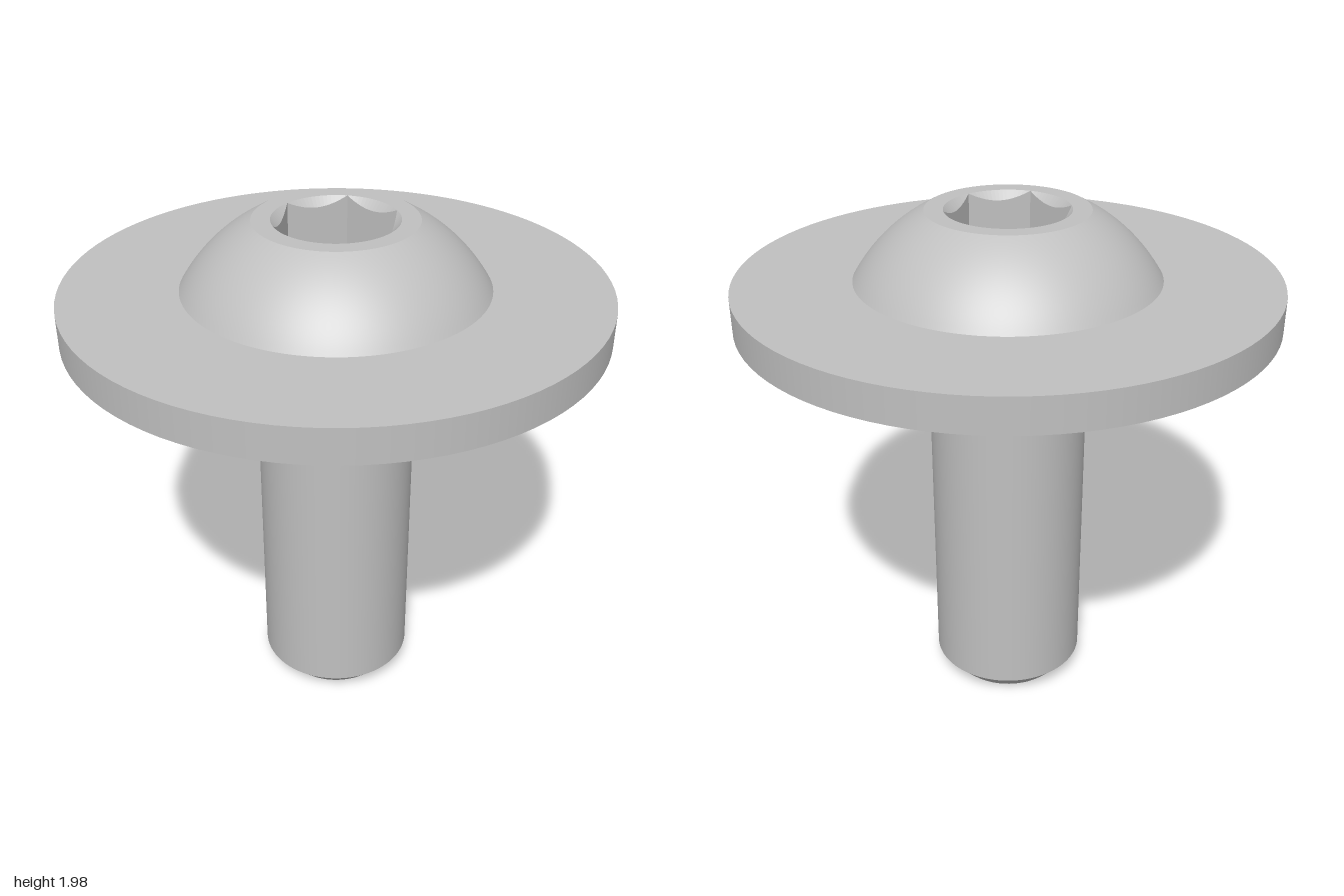
import * as THREE from 'three';

const SEG = 96;
const TOP = 1.98, FLANGE_TOP = 1.73, FLANGE_BOTTOM = 1.6;
const SHAFT_R = 0.3, APOTHEM = 0.2, RIM = APOTHEM / Math.cos(Math.PI / 6);
const SOCKET_FLOOR = TOP - 0.21;

export function createModel() {
  const model = new THREE.Group();
  const steel = new THREE.MeshStandardMaterial({ color: 0xc0c0c0 });
  steel.name = 'steel grey';

  const add = (group, name, geometry) => {
    const mesh = new THREE.Mesh(geometry, steel);
    mesh.name = name;
    group.add(mesh);
  };
  // One smooth band of revolution; separate bands keep the edges sharp
  const band = (group, name, ...points) =>
    add(group, name, new THREE.LatheGeometry(points.map(([r, y]) => new THREE.Vector2(r, y)), SEG));
  const part = (name) => {
    const group = new THREE.Group();
    group.name = name;
    model.add(group);
    return group;
  };

  // Shaft with chamfered tip
  const shaft = part('shaft');
  band(shaft, 'tipFace', [0, 0], [0.225, 0]);
  band(shaft, 'tipChamfer', [0.225, 0], [SHAFT_R, 0.08]);
  band(shaft, 'shank', [SHAFT_R, 0.08], [SHAFT_R, FLANGE_BOTTOM]);

  // Wide flat flange
  const flange = part('flange');
  band(flange, 'flangeUnderside', [SHAFT_R, FLANGE_BOTTOM], [1, FLANGE_BOTTOM]);
  band(flange, 'flangeEdge', [1, FLANGE_BOTTOM], [1, FLANGE_TOP]);
  band(flange, 'flangeTop', [1, FLANGE_TOP], [0.565, FLANGE_TOP]);

  // Button head: part of a sphere, cut flat at the top
  const head = part('head');
  const centreY = 1.397, radius = 0.656;
  const start = Math.atan2(FLANGE_TOP - centreY, 0.565);
  const end = Math.atan2(TOP - centreY, 0.3);
  const dome = [];
  for (let i = 0; i <= 16; i++) {
    const a = start + (end - start) * i / 16;
    dome.push([radius * Math.cos(a), centreY + radius * Math.sin(a)]);
  }
  band(head, 'dome', ...dome);
  band(head, 'headTop', [0.3, TOP], [RIM, TOP]);

  // Hex socket: conical lead-in, six flat walls and floor
  const socket = part('hexSocket');
  const hexRadius = (a) => {
    const sector = Math.PI / 3;
    return APOTHEM / Math.cos(a - Math.floor(a / sector + 1e-6) * sector - sector / 2);
  };
  const at = (a, r, y) => [r * Math.sin(a), y, r * Math.cos(a)];
  const rings = [
    (a) => at(a, RIM, TOP),
    (a) => at(a, hexRadius(a), TOP - (RIM - hexRadius(a))),
    (a) => at(a, hexRadius(a), SOCKET_FLOOR),
    () => [0, SOCKET_FLOOR, 0],
  ];
  ['socketChamfer', 'socketWalls', 'socketFloor'].forEach((name, k) => {
    const positions = [];
    for (let i = 0; i < SEG; i++) {
      const a0 = i / SEG * Math.PI * 2, a1 = (i + 1) / SEG * Math.PI * 2;
      const a = rings[k](a0), b = rings[k](a1);
      const c = rings[k + 1](a1), d = rings[k + 1](a0);
      positions.push(...a, ...b, ...d);
      if (k < 2) positions.push(...b, ...c, ...d);
    }
    const geometry = new THREE.BufferGeometry();
    geometry.setAttribute('position', new THREE.Float32BufferAttribute(positions, 3));
    geometry.computeVertexNormals();
    add(socket, name, geometry);
  });

  return model;
}
